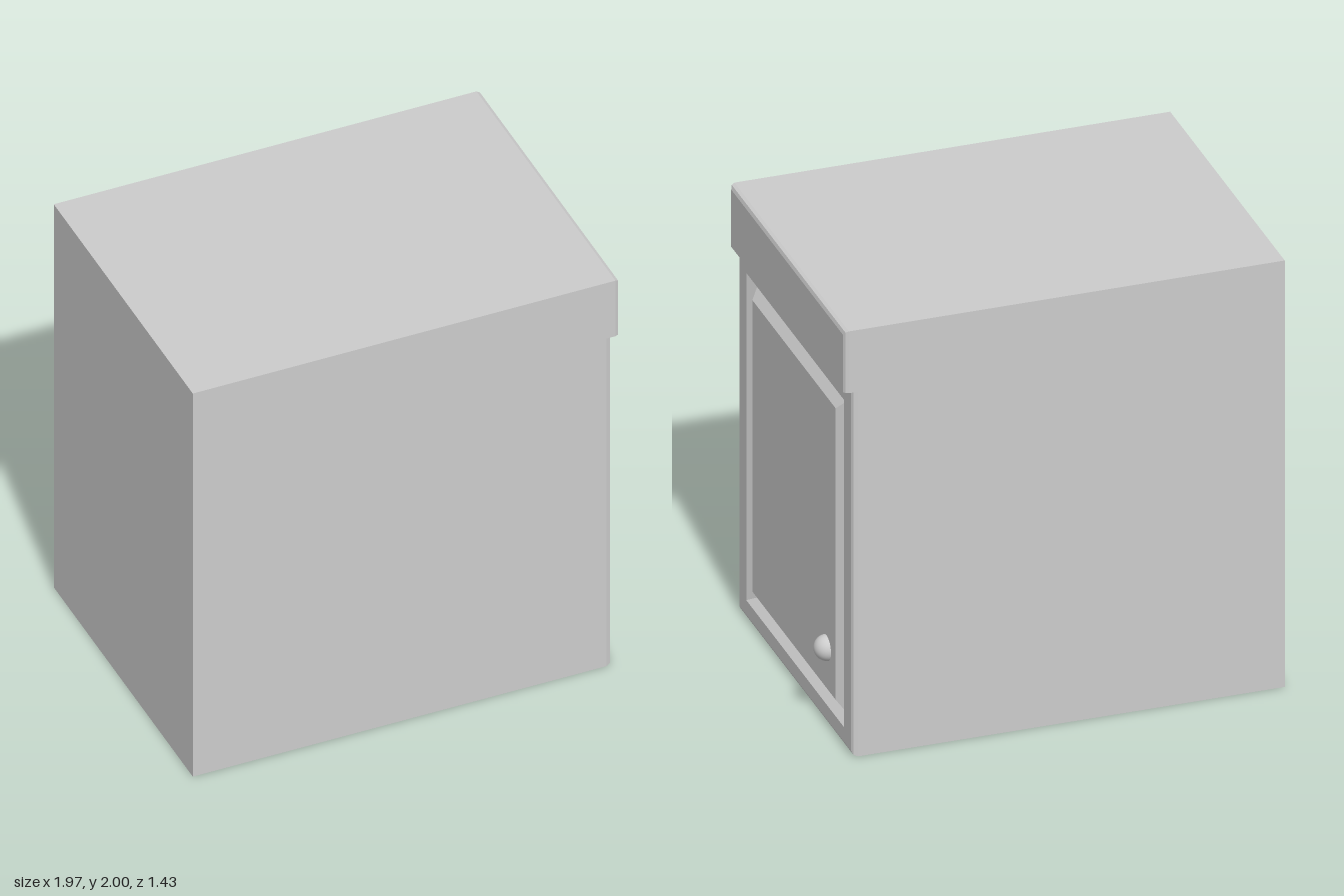
import * as THREE from 'three';

const material = new THREE.MeshStandardMaterial({ color: 0xcccccc, flatShading: true });
const smooth = new THREE.MeshStandardMaterial({ color: 0xcccccc });

// Closed solid lofted along x through rectangles [x, halfWidthZ, yBottom, yTop].
function loftX(name, rings) {
  const corners = rings.map(([x, w, y0, y1]) => [[x, y0, w], [x, y0, -w], [x, y1, -w], [x, y1, w]]);
  const pos = [];
  const quad = (a, b, c, d) => pos.push(...a, ...b, ...c, ...a, ...c, ...d);
  const first = corners[0], last = corners[corners.length - 1];
  quad(first[3], first[2], first[1], first[0]);
  quad(...last);
  for (let r = 0; r < corners.length - 1; r++) {
    const a = corners[r], b = corners[r + 1];
    for (let i = 0; i < 4; i++) {
      const j = (i + 1) % 4;
      quad(a[i], a[j], b[j], b[i]);
    }
  }
  const geometry = new THREE.BufferGeometry();
  geometry.setAttribute('position', new THREE.Float32BufferAttribute(pos, 3));
  geometry.computeVertexNormals();
  const mesh = new THREE.Mesh(geometry, material);
  mesh.name = name;
  return mesh;
}

export function createModel() {
  const group = new THREE.Group();
  group.name = 'cabinet';
  const back = -0.985, half = 0.715, split = 1.71;

  // Cabinet with bevelled door edge, sunken moulding and raised centre panel
  group.add(loftX('cabinetAndDoor', [
    [back, half, 0, split],
    [0.9, half, 0, split],
    [0.918, half - 0.006, 0.007, split],
    [0.925, half - 0.02, 0.022, split],
    [0.925, 0.61, 0.09, 1.625],
    [0.89, 0.56, 0.122, 1.592],
    [0.93, 0.52, 0.175, 1.542],
  ]));

  // Overhanging top section with bevelled top and side edges
  group.add(loftX('overhangingTop', [
    [back, half, split, 2],
    [0.94, half, split, 2],
    [0.954, half - 0.005, split, 1.994],
    [0.96, half - 0.016, split, 1.978],
  ]));

  // Round door knob, half sunk into the panel
  const knob = new THREE.Mesh(new THREE.SphereGeometry(0.057, 32, 20), smooth);
  knob.name = 'doorKnob';
  knob.position.set(0.928, 0.365, -0.405);
  group.add(knob);

  return group;
}
